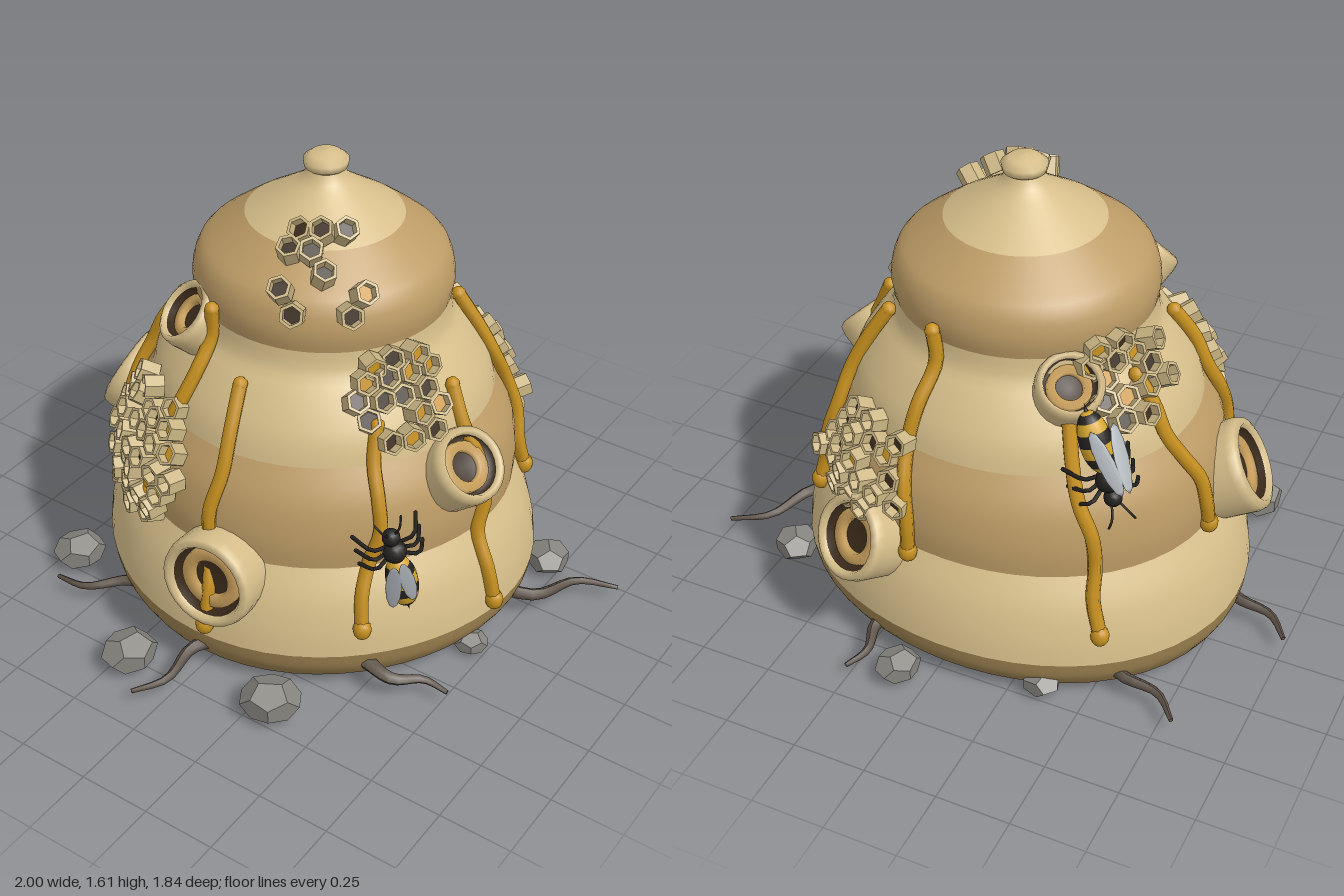
import * as THREE from 'three';

const mat = (color) => new THREE.MeshStandardMaterial({ color, side: THREE.DoubleSide });
const LIGHT = mat(0xd6be8a), TAN = mat(0xbd9c66), BASE = mat(0x9c8150), HONEY = mat(0xc6901f),
  CELL = mat(0xcbb684), HOLE = mat(0x3a2a1a), INNER = mat(0xc89f5c), BLACK = mat(0x24221f),
  YELLOW = mat(0xd6a52c), WING = mat(0xa9afb4), TWIG = mat(0x5e5348);
const ROCK = mat(0x87857f);
ROCK.flatShading = true;

// Hive bands from the ground up: [name, material, [radius, height], ...]
const BANDS = [
  ['baseRim', BASE, [0.755, 0.045], [0.785, 0.1], [0.795, 0.16]],
  ['lowerTier', LIGHT, [0.795, 0.16], [0.78, 0.25], [0.745, 0.36], [0.69, 0.46]],
  ['middleTier', TAN, [0.69, 0.46], [0.69, 0.56], [0.66, 0.69], [0.595, 0.8]],
  ['upperTier', LIGHT, [0.595, 0.8], [0.565, 0.89], [0.49, 1.0], [0.44, 1.06], [0.425, 1.13]],
  ['crownTier', TAN, [0.425, 1.13], [0.433, 1.2], [0.41, 1.28], [0.355, 1.33], [0.26, 1.4]],
  ['peak', LIGHT, [0.26, 1.4], [0.15, 1.47], [0.08, 1.52], [0.055, 1.56]],
];
const PROFILE = BANDS.flatMap((b) => b.slice(2));

let seed = 7;
const rnd = () => (seed = (seed * 16807) % 2147483647) / 2147483647;
const CX = -0.02;
const centreZ = (y) => -0.07 - 0.03 * y;
const depth = (y) => 0.92 + 0.045 * y;
// Hand-built unevenness of the wall, fading out towards the crown
const lump = (a, y) => Math.max(0, 1 - y / 1.15) * (-0.02 - 0.02 * Math.cos(a) - 0.017 * Math.sin(a)
  + 0.0125 * Math.sin(2 * a) + 0.02 * Math.cos(3 * a));

function radiusAt(y) {
  for (let i = 1; i < PROFILE.length; i++) {
    const [r0, y0] = PROFILE[i - 1], [r1, y1] = PROFILE[i];
    if (y <= y1 && y1 > y0) return r0 + (r1 - r0) * (y - y0) / (y1 - y0);
  }
  return 0.05;
}
// Point on the hive wall at angle a (0 = front) and height y
function wall(a, y, radius = radiusAt(y)) {
  const r = radius + lump(a, y);
  return new THREE.Vector3(CX + r * Math.sin(a), y, centreZ(y) + r * depth(y) * Math.cos(a));
}
function normal(a, y) {
  const u = wall(a + 0.05, y).sub(wall(a - 0.05, y));
  const v = wall(a, y + 0.05).sub(wall(a, y - 0.05));
  return u.cross(v).normalize();
}
const angle = (x, y, z) => Math.atan2(x - CX, (z - centreZ(y)) / depth(y));

// Put an object on the wall with its own +z pointing outwards
function seat(obj, a, y, lift = 0) {
  const n = normal(a, y);
  obj.position.copy(wall(a, y)).addScaledVector(n, lift);
  obj.lookAt(obj.position.clone().add(n));
  return obj;
}
function add(parent, geo, material, name, x = 0, y = 0, z = 0) {
  const m = new THREE.Mesh(geo, material);
  m.name = name;
  m.position.set(x, y, z);
  parent.add(m);
  return m;
}
function group(parent, name) {
  const g = new THREE.Group();
  g.name = name;
  parent.add(g);
  return g;
}
const lathe = (pts, n) => new THREE.LatheGeometry(pts.map((p) => new THREE.Vector2(...p)), n);

function buildHive(root) {
  const hive = group(root, 'hive');
  for (const [name, material, ...pts] of BANDS) {
    const curve = new THREE.SplineCurve(pts.map((p) => new THREE.Vector2(...p)));
    const geo = new THREE.LatheGeometry(curve.getPoints(10), 56);
    const p = geo.attributes.position;
    for (let i = 0; i < p.count; i++) {
      const q = wall(Math.atan2(p.getX(i), p.getZ(i)), p.getY(i), Math.hypot(p.getX(i), p.getZ(i)));
      p.setXYZ(i, q.x, q.y, q.z);
    }
    add(hive, geo, material, name);
  }
  add(hive, lathe([[0.045, 0], [0.07, 0.015], [0.075, 0.04], [0.05, 0.06], [0, 0.068]], 16),
    LIGHT, 'topKnob', CX, 1.545, centreZ(1.55));
}

// Round entrance: raised collar, dark hollow and inner ring; tilt lifts its mouth upwards
function buildEntrance(root, x, y, z, r, h, tilt) {
  const g = seat(group(root, 'entrance'), angle(x, y, z), y);
  g.rotateX(-tilt);
  const turned = (pts, m, name) => add(g, lathe(pts, 24).rotateX(Math.PI / 2), m, name);
  turned([[r * 0.95, -0.1], [r, h - 0.03], [r * 0.96, h], [r * 0.82, h + 0.01], [r * 0.76, h - 0.01]], LIGHT, 'collar');
  turned([[r * 0.76, h - 0.01], [r * 0.72, h - 0.05], [0, h - 0.05]], HOLE, 'hollow');
  turned([[r * 0.66, h - 0.05], [r * 0.64, h - 0.03], [r * 0.4, h - 0.03], [r * 0.38, h - 0.05]], INNER, 'innerRing');
}

// Six-sided open cells
const hexPath = (r, Type) => new Type().setFromPoints(
  [...Array(6)].map((_, i) => new THREE.Vector2(r * Math.sin(i * Math.PI / 3), r * Math.cos(i * Math.PI / 3))));
const hexShape = hexPath(0.041, THREE.Shape);
hexShape.holes.push(hexPath(0.03, THREE.Path));
const cellGeo = new THREE.ExtrudeGeometry(hexShape, { depth: 0.065, bevelEnabled: false }).translate(0, 0, -0.01);
const fillGeo = new THREE.ShapeGeometry(hexPath(0.032, THREE.Shape));

function buildComb(root, x, y, z, w, h, gaps) {
  const comb = group(root, 'honeycomb');
  const a0 = angle(x, y, z), n = normal(a0, y), slope = Math.hypot(n.x, n.z);
  const dx = 0.076, dv = 0.066, rows = Math.ceil(h / dv), cols = Math.ceil(w / dx) + 1;
  for (let j = -rows; j <= rows; j++) for (let i = -cols; i <= cols; i++) {
    const u = (i + (j & 1 ? 0.5 : 0)) * dx, v = j * dv;
    if ((u / w) ** 2 + (v / h) ** 2 > 0.8 + 0.35 * rnd() || rnd() < gaps) continue;
    const cy = y + v * slope;
    const cell = seat(group(comb, 'cell'), a0 + u / radiusAt((cy + y) / 2), cy, rnd() * 0.03);
    cell.rotateX((rnd() - 0.5) * 0.4);
    cell.rotateY((rnd() - 0.5) * 0.4);
    add(cell, cellGeo, CELL, 'cellWall');
    add(cell, fillGeo, rnd() < 0.4 ? HONEY : HOLE, 'cellFill', 0, 0, 0.02);
  }
}

// Honey run down the wall, ending in a drop
function buildDrip(root, [x0, y0, z0], [x1, y1, z1]) {
  const g = group(root, 'honeyDrip');
  const a0 = angle(x0, y0, z0);
  let da = angle(x1, y1, z1) - a0;
  if (Math.abs(da) > Math.PI) da -= Math.sign(da) * 2 * Math.PI;
  const pts = [];
  for (let i = 0; i <= 6; i++) {
    const t = i / 6, y = y0 + (y1 - y0) * t, a = a0 + da * t + 0.035 * Math.sin(t * 8 + x0 * 9) * Math.sin(t * Math.PI);
    pts.push(wall(a, y).addScaledVector(normal(a, y), 0.018));
  }
  add(g, new THREE.TubeGeometry(new THREE.CatmullRomCurve3(pts), 24, 0.024, 7), HONEY, 'stream');
  add(g, new THREE.SphereGeometry(0.025, 8, 6), HONEY, 'streamTop').position.copy(pts[0]);
  const drop = add(g, new THREE.SphereGeometry(0.031, 12, 8), HONEY, 'drop');
  drop.position.copy(pts[6]);
  drop.scale.y = 1.2;
}

// Striped insect, head along its own +y
function buildWasp(root, x, y, z, roll) {
  const g = seat(group(root, 'wasp'), angle(x, y, z), y, 0.08);
  g.rotateZ(roll);
  const abdomen = group(g, 'abdomen');
  abdomen.position.set(0, -0.085, 0);
  abdomen.scale.set(0.053, 0.105, 0.05);
  for (let i = 0; i < 8; i++)
    add(abdomen, new THREE.SphereGeometry(1, 14, 3, 0, Math.PI * 2, i * Math.PI / 8, Math.PI / 8), i % 2 ? YELLOW : BLACK, 'stripe');
  add(g, new THREE.ConeGeometry(0.008, 0.035, 6).rotateX(Math.PI), BLACK, 'sting', 0, -0.2, 0);
  add(g, new THREE.SphereGeometry(0.04, 12, 8), BLACK, 'thorax', 0, 0.045, 0);
  add(g, new THREE.SphereGeometry(0.03, 12, 8), BLACK, 'head', 0, 0.105, 0);
  const limb = (name, r, ...pts) => add(g, new THREE.TubeGeometry(
    new THREE.CatmullRomCurve3(pts.map((p) => new THREE.Vector3(...p))), 6, r, 5), BLACK, name);
  for (const s of [-1, 1]) {
    limb('antenna', 0.004, [s * 0.012, 0.12, 0.01], [s * 0.03, 0.16, 0.03], [s * 0.045, 0.19, 0.015]);
    for (const k of [-1, 0, 1])
      limb('leg', 0.007, [s * 0.02, 0.045 + k * 0.02, -0.01], [s * 0.07, 0.05 + k * 0.04, 0.01], [s * 0.11, 0.045 + k * 0.06, -0.07]);
    const wing = add(g, new THREE.SphereGeometry(1, 12, 6), WING, 'wing', s * 0.025 - 0.02, -0.035, 0.07);
    wing.scale.set(0.026, 0.11, 0.004);
    wing.rotation.set(0.2, s * 0.3, s * 0.12);
  }
}

function buildRock(root, x, z, r) {
  const rock = add(root, new THREE.DodecahedronGeometry(r, 0), ROCK, 'rock', x, r * 0.65 + 0.005, z);
  rock.scale.set(1, 0.65, 0.9);
  rock.rotation.y = x * 5 + z * 3;
}

// Tapered bent twig from under the rim out to its tip
function buildTwig(root, [x0, z0], [x1, z1]) {
  const a = new THREE.Vector3(x0, 0.11, z0), b = new THREE.Vector3(x1, 0.06, z1);
  const side = new THREE.Vector3(z0 - z1, 0, x1 - x0).multiplyScalar(0.12);
  const curve = new THREE.CatmullRomCurve3([a, a.clone().lerp(b, 0.35).add(side),
    a.clone().lerp(b, 0.7).sub(side.clone().multiplyScalar(0.5)), b]);
  const geo = new THREE.TubeGeometry(curve, 12, 0.028, 6), p = geo.attributes.position;
  const c = new THREE.Vector3(), v = new THREE.Vector3();
  for (let i = 0; i < p.count; i++) {
    const t = Math.floor(i / 7) / 12;
    curve.getPointAt(t, c);
    v.fromBufferAttribute(p, i).sub(c).multiplyScalar(1 - 0.72 * t).add(c);
    p.setXYZ(i, v.x, v.y, v.z);
  }
  geo.computeVertexNormals();
  add(root, geo, TWIG, 'twig');
}

export function createModel() {
  const root = new THREE.Group();
  root.name = 'beehive';
  buildHive(root);

  for (const e of [[0.045, 0.4, 0.62, 0.165, 0.085, -0.32], [0.6, 0.71, 0.03, 0.13, 0.08, 0.35], [-0.74, 0.53, 0, 0.16, 0.1, 0.45],
    [0.29, 0.43, -0.75, 0.145, 0.12, 0.1], [-0.27, 1.08, 0.27, 0.115, 0.08, 0.4], [-0.33, 1.03, -0.46, 0.11, 0.07, 0.35]])
    buildEntrance(root, ...e);

  for (const c of [[-0.35, 0.66, 0.44, 0.25, 0.26, 0.05], [0.15, 1.345, 0.15, 0.14, 0.19, 0.25], [0.47, 0.985, 0.15, 0.18, 0.2, 0.05],
    [0.31, 0.7, -0.65, 0.2, 0.18, 0.05], [-0.43, 1.04, -0.3, 0.14, 0.17, 0.1]]) buildComb(root, ...c);

  for (const d of [[[0, 1, 0.42], [0.03, 0.22, 0.62]], [[-0.15, 1.19, 0.27], [-0.28, 0.54, 0.5]],
    [[-0.48, 1.03, 0.1], [-0.71, 0.42, 0.25]], [[0.44, 0.92, 0.25], [0.49, 0.27, 0.42]],
    [[0.5, 0.95, -0.06], [0.75, 0.21, 0]], [[0.35, 1.08, -0.36], [0.58, 0.4, -0.48]],
    [[0.1, 1.18, -0.53], [0.12, 0.45, -0.8]], [[-0.36, 0.95, -0.52], [-0.5, 0.28, -0.62]],
    [[-0.45, 1.02, -0.27], [-0.7, 0.48, -0.22]]]) buildDrip(root, ...d);

  buildWasp(root, 0.6, 0.53, 0.36, 0.22);
  buildWasp(root, -0.46, 0.84, -0.52, Math.PI + 0.2);

  for (const r of [[-0.2, 0.77, 0.1], [0.32, 0.69, 0.105], [-0.68, 0.46, 0.095], [0.71, -0.46, 0.085],
    [0.1, -0.84, 0.08], [-0.35, -0.7, 0.075], [0.7, 0.06, 0.06]]) buildRock(root, ...r);

  for (const t of [[[-0.5, -0.5], [-0.8, -0.7]], [[-0.72, 0], [-1, -0.2]], [[0.62, -0.16], [0.99, -0.45]],
    [[0.5, 0.4], [0.77, 0.33]], [[0.08, 0.55], [-0.08, 0.91]], [[-0.25, 0.53], [-0.65, 0.61]],
    [[0.18, -0.65], [0.25, -0.92]]]) buildTwig(root, ...t);
  return root;
}
